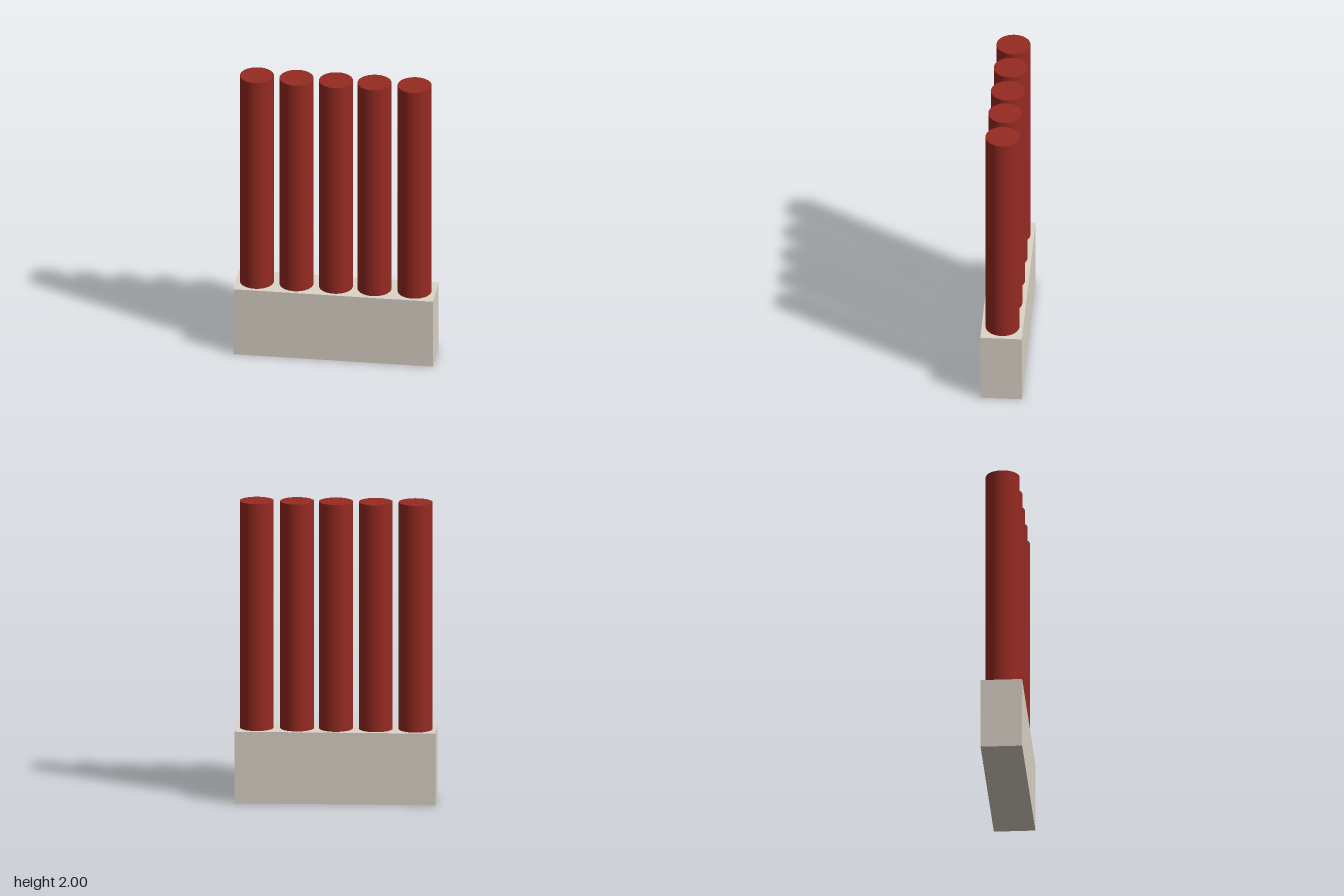
import * as THREE from 'three';

export function createModel() {
  const model = new THREE.Group();
  const stone = new THREE.MeshStandardMaterial({ color: 0xdcd4c8 });
  const red = new THREE.MeshStandardMaterial({ color: 0x962a22 });

  // Rectangular block the columns stand on
  const baseHeight = 0.48;
  const base = new THREE.Mesh(new THREE.BoxGeometry(1.316, baseHeight, 0.272), stone);
  base.name = 'base';
  base.position.y = baseHeight / 2;
  model.add(base);

  // Row of five round columns, slightly uneven in spacing
  const columnHeight = 2 - baseHeight;
  const columnGeometry = new THREE.CylinderGeometry(0.111, 0.111, columnHeight, 64);
  [-0.521, -0.26, 0, 0.254, 0.518].forEach((x, i) => {
    const column = new THREE.Mesh(columnGeometry, red);
    column.name = `column${i + 1}`;
    column.position.set(x, baseHeight + columnHeight / 2, 0);
    model.add(column);
  });

  return model;
}
